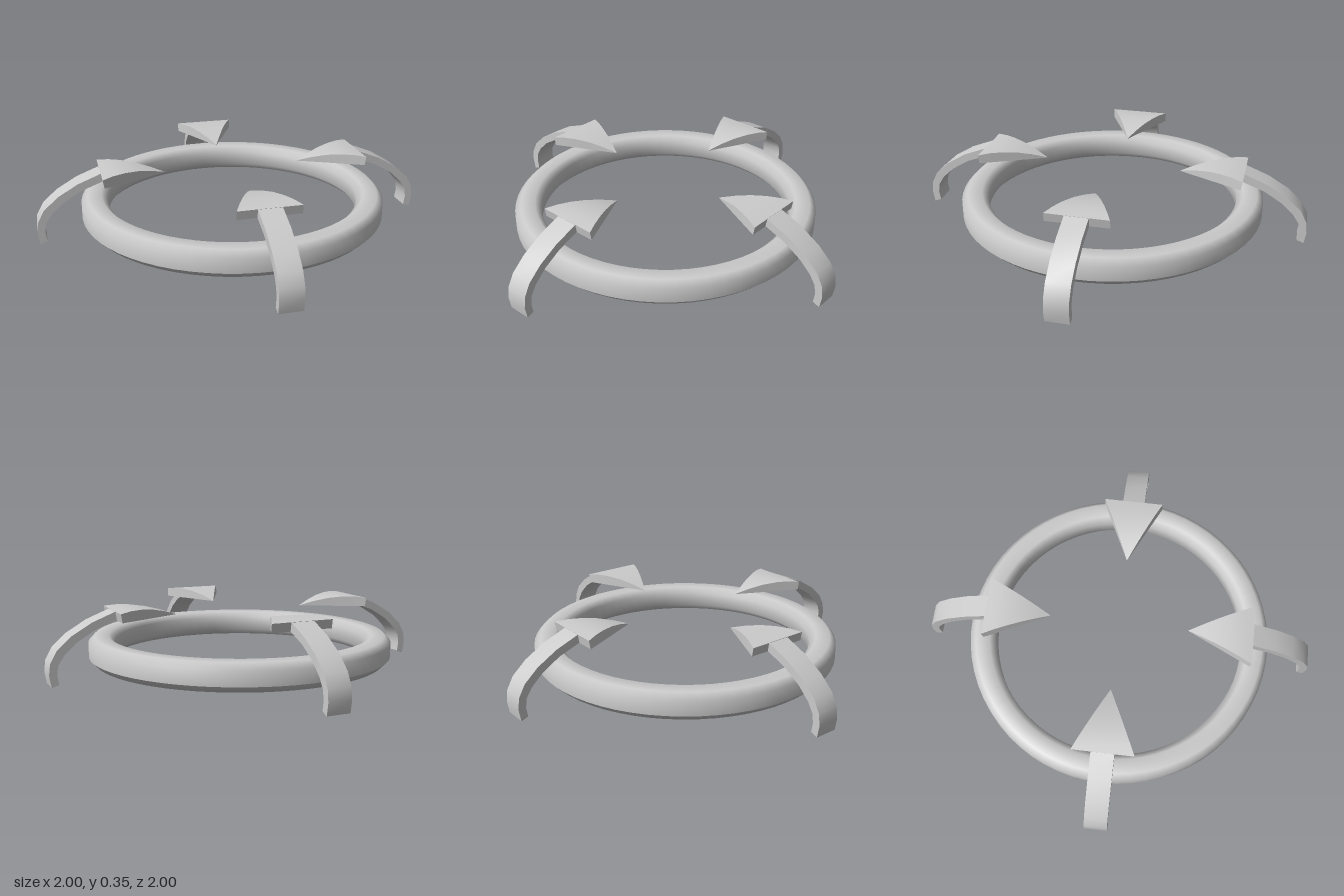
import * as THREE from 'three';
import { toCreasedNormals } from 'three/addons/utils/BufferGeometryUtils.js';

const material = new THREE.MeshStandardMaterial({ color: 0xcccccc });

// Solid band: each station is [outer x, outer y, inner x, inner y, half width]
function band(stations) {
  const pos = [], index = [];
  for (const [ox, oy, ix, iy, w] of stations) {
    pos.push(ox, oy, w, ox, oy, -w, ix, iy, -w, ix, iy, w);
  }
  const last = (stations.length - 1) * 4;
  for (let s = 0; s < last; s += 4) {
    for (let k = 0; k < 4; k++) {
      const a = s + k, b = s + (k + 1) % 4;
      index.push(a, b, b + 4, a, b + 4, a + 4);
    }
  }
  index.push(0, 2, 1, 0, 3, 2, last, last + 1, last + 2, last, last + 2, last + 3);
  const g = new THREE.BufferGeometry();
  g.setAttribute('position', new THREE.Float32BufferAttribute(pos, 3));
  g.setIndex(index);
  return toCreasedNormals(g, 0.6);
}

// Curved arrow lying along +x and pointing to the centre
function createArrow() {
  const arrow = new THREE.Group();
  arrow.name = 'curvedArrow';

  const w = 0.057;
  const shaft = new THREE.Mesh(band([
    [0.99, 0.0, 0.955, 0.013, w],
    [1.0, 0.06, 0.962, 0.06, w],
    [0.993, 0.115, 0.955, 0.105, w],
    [0.96, 0.175, 0.926, 0.15, w],
    [0.89, 0.238, 0.866, 0.206, w],
    [0.79, 0.297, 0.775, 0.261, w],
    [0.675, 0.342, 0.665, 0.302, w],
  ]), material);
  shaft.name = 'arrowShaft';

  // Arched top over a flat underside, tapering to the tip
  const top = [[0.675, 0.343], [0.62, 0.35], [0.56, 0.35], [0.49, 0.342], [0.42, 0.325], [0.351, 0.302]];
  const head = new THREE.Mesh(band(top.map(([x, y]) => {
    const t = (x - 0.35) / 0.325;
    return [x, y, 0.35 + t * 0.318, 0.3, 0.153 * t];
  })), material);
  head.name = 'arrowHead';

  arrow.add(shaft, head);
  return arrow;
}

export function createModel() {
  const model = new THREE.Group();
  model.name = 'ringWithArrows';

  // Ring with a bevelled, smoothly shaded section
  const R = 0.707, h = 0.067, f = 0.036;
  const section = [[h, -f], [h, f], [f, h], [-f, h], [-h, f], [-h, -f], [-f, -h], [f, -h], [h, -f]]
    .map(([x, y]) => new THREE.Vector2(R + x, 0.12 + y));
  const ring = new THREE.Mesh(new THREE.LatheGeometry(section, 64), material);
  ring.name = 'ring';
  model.add(ring);

  // Four arrows around the ring
  for (let i = 0; i < 4; i++) {
    const arrow = createArrow();
    arrow.rotation.y = i * Math.PI / 2;
    model.add(arrow);
  }
  return model;
}
